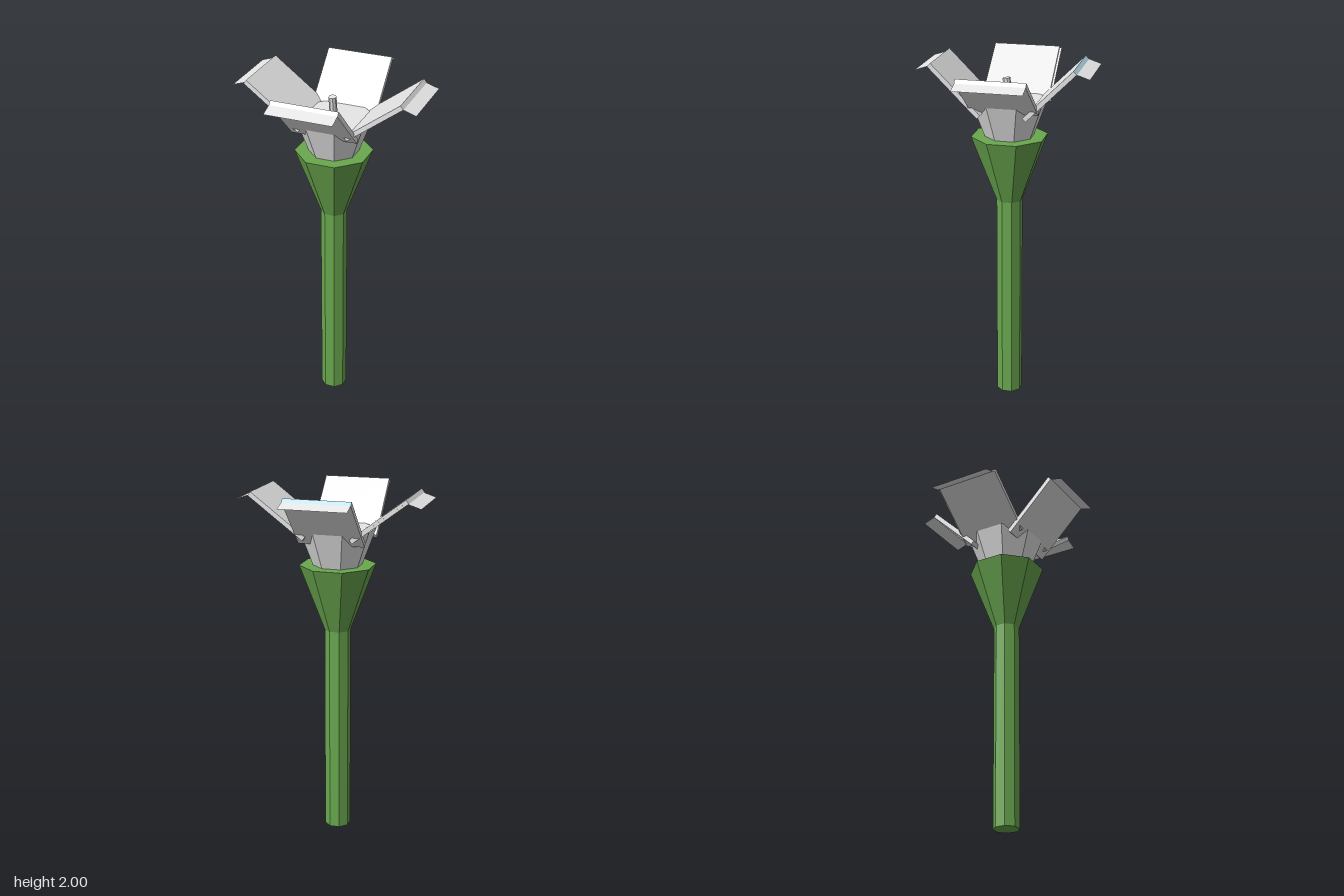
import * as THREE from 'three';

const white = new THREE.MeshStandardMaterial({ name: 'petalWhite', color: 0xefefef });
const sheetWhite = new THREE.MeshStandardMaterial({ name: 'sheetWhite', color: 0xefefef, side: THREE.DoubleSide });
const green = new THREE.MeshStandardMaterial({ name: 'stemGreen', color: 0x6aa84f });
const blue = new THREE.MeshStandardMaterial({ name: 'paleBlue', color: 0xb7dde8 });

const WIDTH = 0.375, LENGTH = 0.385, THICK = 0.026;

function add(parent, name, geometry, material, x = 0, y = 0, z = 0) {
  const mesh = new THREE.Mesh(geometry, material);
  mesh.name = name;
  mesh.position.set(x, y, z);
  parent.add(mesh);
  return mesh;
}

// Eight-sided prism or cone with flat sides facing the axes, sized by apothem
function octagon(top, bottom, height) {
  const k = 1 / Math.cos(Math.PI / 8);
  const g = new THREE.CylinderGeometry(top * k, bottom * k, height, 8);
  g.rotateY(Math.PI / 8);
  const flat = g.toNonIndexed();
  flat.computeVertexNormals();
  return flat;
}

// Tilted slab with a thin drooping flap at its tip; local +z points outward
function petal({ name, yaw, x, z, tilt, tipR, tipY, tip = white, shift = 0 }) {
  const group = new THREE.Group();
  group.name = name;
  group.position.set(x, 0, z);
  group.rotation.y = yaw;
  const c = Math.cos(tilt), s = Math.sin(tilt);
  const midR = tipR - c * LENGTH / 2, midY = tipY - s * LENGTH / 2;

  const slab = add(group, 'petalSlab', new THREE.BoxGeometry(WIDTH, THICK, LENGTH),
    [white, white, white, white, tip, white], 0, midY, midR);
  slab.rotation.x = -tilt;

  // Flap hangs from the lower edge of the tip
  const run = 0.07, drop = 0.023;
  const flap = new THREE.PlaneGeometry(WIDTH, Math.hypot(run, drop));
  flap.rotateX(-Math.PI / 2);
  const r0 = tipR + s * THICK / 2, y0 = tipY - c * THICK / 2;
  add(group, 'petalFlap', flap, sheetWhite, shift, y0 - drop / 2, r0 + run / 2)
    .rotation.x = Math.atan2(drop, run);

  // Sideways-shifted inner sheet
  if (shift) {
    const sheet = new THREE.PlaneGeometry(WIDTH, LENGTH);
    sheet.rotateX(-Math.PI / 2);
    add(group, 'petalSheet', sheet, sheetWhite, shift, midY, midR).rotation.x = -tilt;
  }
  return group;
}

export function createModel() {
  const model = new THREE.Group();
  model.name = 'flower';
  const cx = -0.008, cz = -0.006;

  // Stem, flared cup and the pale bulb nested in it
  add(model, 'stem', octagon(0.068, 0.068, 1.197), green, cx, 0.5985, cz);
  add(model, 'cup', octagon(0.199, 0.068, 0.375), green, cx, 1.3845, cz);
  add(model, 'bulb', octagon(0.199, 0.068, 0.375), white, cx, 1.5875, cz);

  // Pistil leaning slightly forward
  add(model, 'pistil', octagon(0.02, 0.02, 0.14), white, -0.009, 1.825, 0.003).rotation.x = 0.14;

  const steep = Math.PI / 4, shallow = 0.645, off = -0.009;
  [
    { name: 'frontPetal', yaw: 0, x: off, z: 0, tilt: steep, tipR: 0.395, tipY: 1.987 },
    { name: 'backPetal', yaw: Math.PI, x: off, z: 0, tilt: steep, tipR: 0.399, tipY: 1.987, tip: blue },
    { name: 'leftPetal', yaw: Math.PI / 2, x: 0, z: off, tilt: shallow, tipR: 0.437, tipY: 1.975 },
    { name: 'rightPetal', yaw: -Math.PI / 2, x: 0, z: off, tilt: shallow, tipR: 0.442, tipY: 1.975, shift: -0.0125 },
  ].forEach((p) => model.add(petal(p)));

  return model;
}
